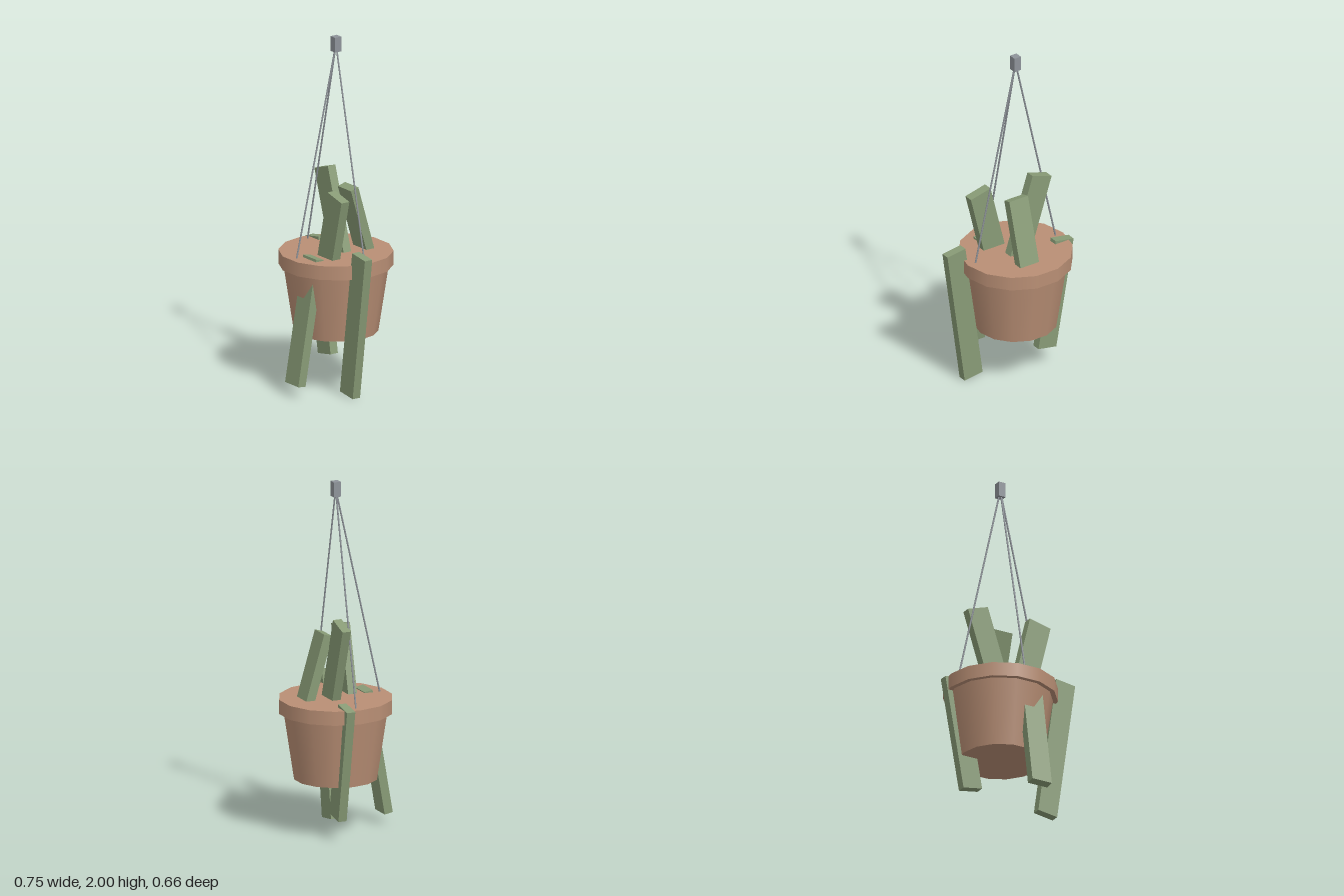
import * as THREE from 'three';

const terracotta = new THREE.MeshStandardMaterial({ color: 0xb98f75 });
terracotta.name = 'terracotta';
const leafGreen = new THREE.MeshStandardMaterial({ color: 0x889b76 });
leafGreen.name = 'leafGreen';
const metalGrey = new THREE.MeshStandardMaterial({ color: 0x8e9399 });
metalGrey.name = 'metalGrey';

// Axis of the pot, cords and hook
const CX = -0.043, CZ = -0.02;

function add(parent, name, geometry, material, x, y, z) {
  const mesh = new THREE.Mesh(geometry, material);
  mesh.name = name;
  mesh.position.set(x, y, z);
  parent.add(mesh);
  return mesh;
}

// 14-sided tapered ring section with corners on the x axis
function potSection(parent, name, rTop, rBottom, y0, y1) {
  const geo = new THREE.CylinderGeometry(rTop, rBottom, y1 - y0, 14, 1, false, Math.PI / 2);
  add(parent, name, geo, terracotta, CX, (y0 + y1) / 2, CZ);
}

// Thin straight cord between two points
function cord(parent, name, from, to) {
  const dir = to.clone().sub(from);
  const mid = from.clone().add(to).multiplyScalar(0.5);
  const geo = new THREE.CylinderGeometry(0.005, 0.005, dir.length(), 6);
  const mesh = add(parent, name, geo, metalGrey, mid.x, mid.y, mid.z);
  mesh.quaternion.setFromUnitVectors(new THREE.Vector3(0, 1, 0), dir.normalize());
}

export function createModel() {
  const model = new THREE.Group();
  model.name = 'hangingPlanter';

  // Pot
  const pot = new THREE.Group();
  pot.name = 'pot';
  model.add(pot);
  potSection(pot, 'potBody', 0.293, 0.234, 0.312, 0.7);
  potSection(pot, 'potRim', 0.318, 0.318, 0.69, 0.77);

  // Hook block and three cords
  const hanger = new THREE.Group();
  hanger.name = 'hanger';
  model.add(hanger);
  add(hanger, 'hook', new THREE.BoxGeometry(0.043, 0.085, 0.043), metalGrey, CX, 1.9575, CZ);
  const apex = new THREE.Vector3(CX, 1.957, CZ);
  [['leftCord', 0.27, 0], ['rightCord', -0.27, 0], ['frontCord', 0, 0.27]].forEach(([name, dx, dz]) =>
    cord(hanger, name, apex, new THREE.Vector3(CX + dx, 0.755, CZ + dz)));

  // Leaves: name, size, centre, tilt about x, tilt about z
  const leaves = new THREE.Group();
  leaves.name = 'leaves';
  model.add(leaves);
  [
    ['leftTrailingLeaf', [0.121, 0.83, 0.05], [0.256, 0.423, 0.06], 0, -0.139],
    ['rightTrailingLeaf', [0.121, 0.66, 0.05], [-0.257, 0.453, -0.078], 0, 0.176],
    ['frontTrailingLeaf', [0.124, 0.722, 0.05], [0.02, 0.424, 0.241], -0.171, 0],
    ['rightUprightLeaf', [0.133, 0.55, 0.051], [-0.101, 0.951, -0.047], 0, 0.31],
    ['leftUprightLeaf', [0.135, 0.5, 0.054], [0.0725, 0.894, 0.09], 0, -0.24],
    ['backUprightLeaf', [0.124, 0.5, 0.052], [-0.008, 0.893, -0.147], 0.285, 0],
  ].forEach(([name, size, pos, tiltX, tiltZ]) => {
    const leaf = add(leaves, name, new THREE.BoxGeometry(...size), leafGreen, ...pos);
    leaf.rotation.set(tiltX, 0, tiltZ);
  });

  return model;
}
